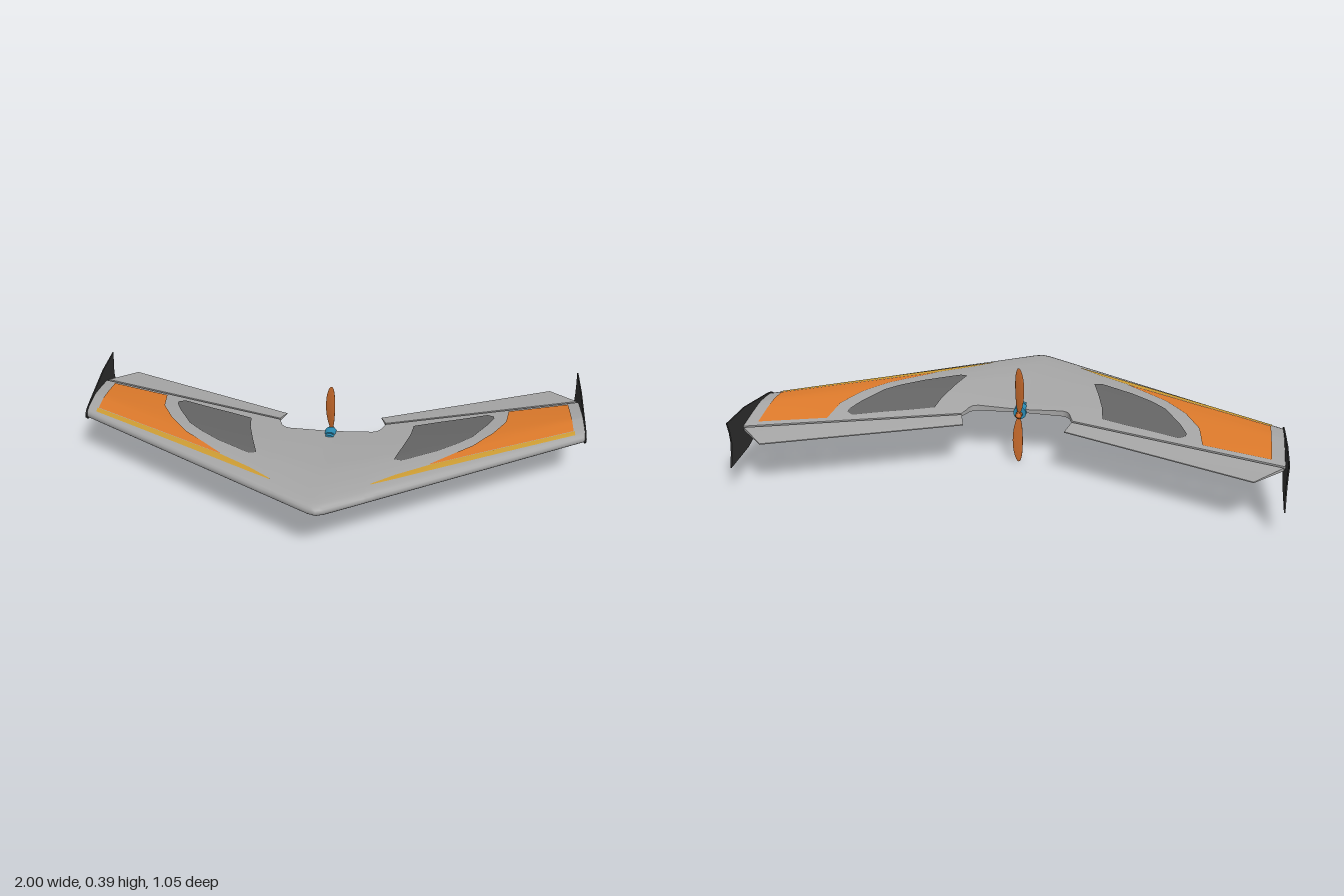
import * as THREE from 'three';

const mat = (name, color, side = THREE.FrontSide) => {
  const m = new THREE.MeshStandardMaterial({ color, side });
  m.name = name;
  return m;
};

// piecewise-linear lookup in rows of [key, value, value...]
function lookup(rows, key, k = 1) {
  if (key <= rows[0][0]) return rows[0][k];
  for (let i = 1; i < rows.length; i++) {
    const a = rows[i - 1], b = rows[i];
    if (key <= b[0]) return a[k] + (b[k] - a[k]) * (key - a[0]) / (b[0] - a[0]);
  }
  return rows[rows.length - 1][k];
}

// surface through rows of points
function grid(rows) {
  const n = rows[0].length, index = [];
  for (let i = 0; i < rows.length - 1; i++)
    for (let j = 0; j < n - 1; j++) {
      const a = i * n + j, b = a + n;
      index.push(a, b, a + 1, b, b + 1, a + 1);
    }
  const g = new THREE.BufferGeometry();
  g.setAttribute('position', new THREE.Float32BufferAttribute(rows.flat(2), 3));
  g.setIndex(index);
  g.computeVertexNormals();
  return g;
}

// wing planform and section
const NOSE = [[0, 0], [0.003, 0.01], [0.012, 0.017], [0.03, 0.022], [0.06, 0.0255], [0.12, 0.029]];
const NOTCH = [[0, -0.055], [0.165, -0.055], [0.185, -0.063], [0.197, -0.08], [0.203, -0.1], [0.215, -0.13], [1, -0.39]];
const lead = x => Math.min(0.522 - 0.36 * Math.abs(x), 0.53 - 0.62 * Math.abs(x));
const trail = x => lookup(NOTCH, Math.abs(x));

// side is 1 for the upper skin, -1 for the lower skin
function skinY(x, z, side) {
  const chord = lead(x) + 0.059 + 0.331 * Math.abs(x);
  const d = lead(x) - z, start = Math.max(0.12, 0.4 * chord);
  const k = Math.min(1, Math.max(0, (d - start) / (chord - start)));
  const half = d < 0.12 ? lookup(NOSE, d) : 0.029 - 0.023 * Math.pow(k, 1.3);
  return 0.208 - 0.005 * k + side * half;
}

// painted areas as [x, back z, front z]
const PANELS = {
  orangePanel: [[0.396, 0.197, 0.201], [0.47, 0.13, 0.16], [0.556, 0.053, 0.112], [0.636, -0.053, 0.068],
    [0.69, -0.16, 0.038], [0.706, -0.273, 0.03], [0.95, -0.353, -0.105]],
  yellowStripe: [[0.185, 0.352, 0.357], [0.27, 0.285, 0.31], [0.4, 0.2, 0.235], [0.955, -0.105, -0.082]],
  greyPanel: [[0.262, 0.176, 0.182], [0.289, 0.08, 0.187], [0.316, -0.03, 0.172], [0.326, -0.112, 0.165],
    [0.42, -0.152, 0.107], [0.5, -0.182, 0.042], [0.556, -0.205, -0.016], [0.62, -0.232, -0.134], [0.645, -0.215, -0.195]],
};

function panelGeometry(table, s, side) {
  const rows = [];
  for (let i = 0; i < table.length - 1; i++)
    for (let k = 0; k < 5 + (i === table.length - 2); k++) {
      const t = k / 5, mix = c => table[i][c] + (table[i + 1][c] - table[i][c]) * t;
      const x = s * mix(0), row = [];
      for (let j = 0; j <= 14; j++) {
        const z = mix(2) + (mix(1) - mix(2)) * j / 14;
        row.push([x, skinY(x, z, side) + side * 0.003, z]);
      }
      rows.push(side > 0 ? row : row.reverse());
    }
  return grid(s > 0 ? rows : rows.reverse());
}

export function createModel() {
  const model = new THREE.Group();
  const foam = mat('foam grey', 0xa6a6a6);
  const orange = mat('orange', 0xdd7a2b);
  const yellow = mat('yellow', 0xcc9c33);
  const grey = mat('panel grey', 0x656565);
  const black = mat('fin black', 0x2e2e2e);
  const blue = mat('motor blue', 0x2a8cb4);
  const propOrange = mat('propeller orange', 0xc4682a);
  const steel = mat('steel', 0x8a8d90);
  const add = (name, geo, m, parent = model) => {
    const mesh = new THREE.Mesh(geo, m);
    mesh.name = name;
    parent.add(mesh);
    return mesh;
  };

  // swept wing, lofted from tip to tip
  const half = [0.015, 0.03, 0.08, 0.165, 0.175, 0.185, 0.191, 0.197, 0.203, 0.215, 0.3, 0.4, 0.5, 0.6, 0.7, 0.8, 0.9, 0.998];
  const xs = [...half.map(x => -x).reverse(), 0, ...half];
  const loft = xs.map(x => {
    const ds = NOSE.map(p => p[0]), length = lead(x) - trail(x);
    for (let j = 1; j <= 14; j++) ds.push(0.12 + (length - 0.12) * j / 14);
    const skin = side => ds.map(d => [x, skinY(x, lead(x) - d, side), lead(x) - d]);
    return [...skin(-1).reverse(), ...skin(1).slice(1)];
  });
  add('wing', grid(loft), foam);
  add('wingTrailingEdge', grid(xs.map(x => [1, -1].map(s => [x, skinY(x, trail(x), s), trail(x)]))), foam);

  // paint on both skins and both halves
  const paint = { orangePanel: orange, yellowStripe: yellow, greyPanel: grey };
  for (const [name, table] of Object.entries(PANELS))
    for (const s of [1, -1])
      for (const side of [1, -1])
        add(`${s > 0 ? 'left' : 'right'}${side > 0 ? 'Upper' : 'Lower'} ${name}`, panelGeometry(table, s, side), paint[name]);

  // fin outline as (z, y)
  const outline = [[-0.075, 0.204], [-0.075, 0.217], [-0.095, 0.23], [-0.137, 0.239], [-0.357, 0.274], [-0.521, 0.277],
    [-0.506, 0.235], [-0.5, 0.19], [-0.508, 0.148], [-0.524, 0.1], [-0.357, 0.11], [-0.13, 0.18], [-0.095, 0.187]];
  const finShape = new THREE.Shape(outline.map(([z, y]) => new THREE.Vector2(-z, y)));

  for (const s of [1, -1]) {
    const label = s > 0 ? 'left' : 'right';
    const fin = new THREE.ExtrudeGeometry(finShape, { depth: 0.005, bevelEnabled: false });
    fin.rotateY(Math.PI / 2).translate(s > 0 ? 0.995 : -1, 0, 0);
    add(label + 'Fin', fin, black);

    // hinged elevon: a box whose corners move to a tapered plate
    const elevon = new THREE.BoxGeometry(1, 1, 1);
    const p = elevon.attributes.position;
    for (let i = 0; i < p.count; i++) {
      const outer = p.getX(i) * s > 0, front = p.getZ(i) > 0, up = Math.sign(p.getY(i));
      const [x, z] = front ? (outer ? [0.99, -0.398] : [0.213, -0.139]) : (outer ? [0.887, -0.5] : [0.193, -0.203]);
      p.setXYZ(i, s * x, front ? 0.202 + up * 0.006 : 0.194 + up * 0.002, z);
    }
    elevon.computeVertexNormals();
    add(label + 'Elevon', elevon, foam);
  }

  // motor
  const rod = (name, r1, r2, z1, z2, m) => {
    const g = new THREE.CylinderGeometry(r1, r2, z1 - z2, 24);
    add(name, g.rotateX(Math.PI / 2).translate(0, 0.198, (z1 + z2) / 2), m);
  };
  rod('motorBase', 0.023, 0.023, 0, -0.016, blue);
  rod('motorBand', 0.02, 0.02, -0.016, -0.022, steel);
  rod('motorCan', 0.025, 0.025, -0.022, -0.065, blue);
  rod('motorShaft', 0.006, 0.006, -0.065, -0.08, steel);
  rod('propellerHub', 0.013, 0.013, -0.076, -0.093, propOrange);
  rod('propellerCone', 0.012, 0.001, -0.093, -0.113, propOrange);

  // two twisted blades
  const propeller = new THREE.Group();
  propeller.name = 'propeller';
  propeller.position.set(0, 0.196, -0.085);
  for (let b = 0; b < 2; b++) {
    const blade = new THREE.SphereGeometry(1, 20, 24).scale(0.02, 0.095, 0.003).translate(0, 0.101, 0);
    const p = blade.attributes.position;
    for (let i = 0; i < p.count; i++) {
      const x = p.getX(i), z = p.getZ(i), y = p.getY(i), a = 0.6 - 2.2 * y;
      p.setXYZ(i, x * Math.cos(a) - z * Math.sin(a) - 0.004 * Math.sin(y * 16), y, x * Math.sin(a) + z * Math.cos(a));
    }
    blade.computeVertexNormals();
    add('propellerBlade', blade, propOrange, propeller).rotation.z = b * Math.PI;
  }
  model.add(propeller);
  return model;
}
